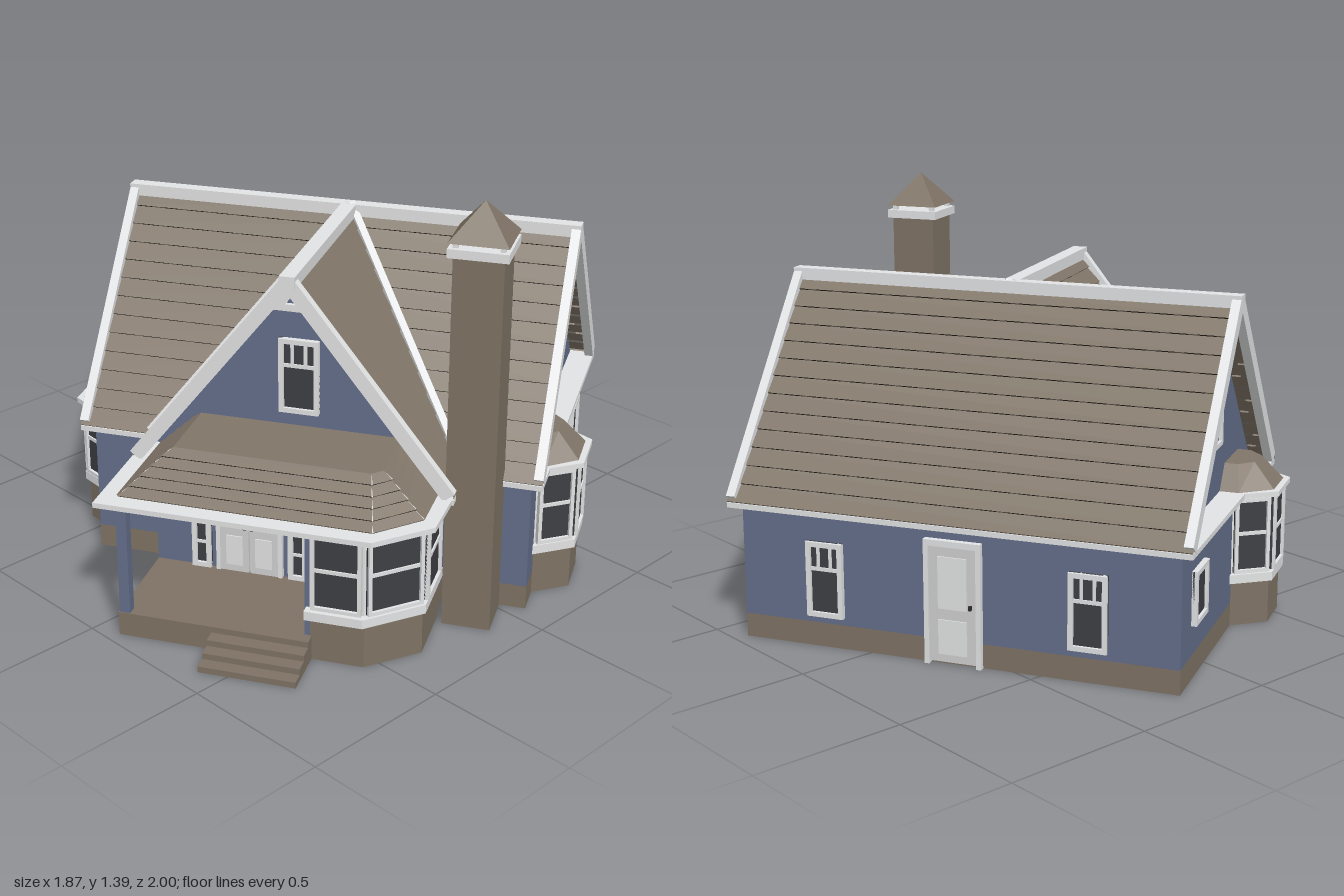
import * as THREE from 'three';

const mat = (name, color, side = THREE.FrontSide) => {
  const m = new THREE.MeshStandardMaterial({ color, side });
  m.name = name;
  return m;
};
const V = (x, y, z) => new THREE.Vector3(x, y, z);

export function createModel() {
  const siding = mat('blue siding', 0x636e8a);
  const stone = mat('brown stone', 0x7e7264);
  const shingle = mat('brown shingle', 0x807568, THREE.DoubleSide);
  const gap = mat('shingle shadow gap', 0x2f2a25, THREE.DoubleSide);
  const trim = mat('white trim', 0xe2e3e4);
  const doorPaint = mat('door paint', 0xd0d0d0);
  const glass = mat('dark glass', 0x3e3f44);

  const model = new THREE.Group();
  const house = new THREE.Group();
  house.name = 'house';
  house.rotation.y = 0.507;
  model.add(house);

  const add = (parent, geo, m, name) => {
    const mesh = new THREE.Mesh(geo, m);
    mesh.name = name;
    parent.add(mesh);
    return mesh;
  };
  // box given by its centre and size
  const box = (p, m, name, x, y, z, w, h, d) => {
    const b = add(p, new THREE.BoxGeometry(w, h, d), m, name);
    b.position.set(x, y, z);
    return b;
  };
  // floor polygon of [x, z] points raised from y0 to y1
  const prism = (p, m, name, poly, y0, y1) => {
    const shape = new THREE.Shape(poly.map(([x, z]) => new THREE.Vector2(x, -z)));
    const geo = new THREE.ExtrudeGeometry(shape, { depth: y1 - y0, bevelEnabled: false });
    geo.rotateX(-Math.PI / 2).translate(0, y0, 0);
    return add(p, geo, m, name);
  };
  const rect = (x0, x1, z0, z1) => [[x0, z0], [x0, z1], [x1, z1], [x1, z0]];
  // white board between two points, aimed before it joins the turned house
  const beam = (name, a, b, w, h) => {
    const m = new THREE.Mesh(new THREE.BoxGeometry(w, h, a.distanceTo(b)), trim);
    m.name = name;
    m.position.copy(a).lerp(b, 0.5);
    m.lookAt(b);
    house.add(m);
  };
  const quads = (p, list, m, name) => {
    const pos = [];
    for (const [a, b, c, d] of list) for (const v of [a, b, c, a, c, d]) pos.push(v.x, v.y, v.z);
    const g = new THREE.BufferGeometry();
    g.setAttribute('position', new THREE.Float32BufferAttribute(pos, 3));
    g.computeVertexNormals();
    return add(p, g, m, name);
  };
  // roof slope of overlapping courses with broken dark gaps under each lip
  const slope = (name, bl, br, tl, tr, rows) => {
    const n = br.clone().sub(bl).cross(tl.clone().sub(bl)).normalize();
    if (n.y < 0) n.negate();
    const lift = n.multiplyScalar(0.007), brown = [], dark = [];
    for (let i = 0; i < rows; i++) {
      const L = bl.clone().lerp(tl, i / rows), R = br.clone().lerp(tr, i / rows);
      brown.push([L.clone().add(lift), R.clone().add(lift),
        br.clone().lerp(tr, (i + 1) / rows), bl.clone().lerp(tl, (i + 1) / rows)]);
      const seg = Math.max(3, Math.round(L.distanceTo(R) / 0.03));
      for (let k = 0; k < seg; k++) {
        const a = L.clone().lerp(R, k / seg), b = L.clone().lerp(R, (k + 1) / seg);
        (i === 0 || (k + i) % 3 === 0 ? brown : dark).push([a, b, b.clone().add(lift), a.clone().add(lift)]);
      }
    }
    quads(house, brown, shingle, name);
    quads(house, dark, gap, name + 'Gaps');
  };
  // framed window facing +z, with a rail and upper mullions
  const win = (p, name, x, y, z, turn, w, h, cols = 1, rail = 0.14, t = 0.016) => {
    const g = new THREE.Group();
    g.name = name;
    g.position.set(x, y, z);
    g.rotation.y = turn;
    p.add(g);
    box(g, glass, 'pane', 0, 0, 0, w, h, 0.016);
    for (const s of [-1, 1]) {
      box(g, trim, 'jamb', s * (w - t) / 2, 0, 0.004, t, h, 0.028);
      box(g, trim, 'head', 0, s * (h - t) / 2, 0.004, w, t, 0.028);
    }
    if (rail !== null) box(g, trim, 'rail', 0, rail * h, 0.003, w - t, 0.012, 0.02);
    for (let i = 1; i < cols; i++)
      box(g, trim, 'mullion', -w / 2 + i * w / cols, h * (0.25 + rail / 2), 0.003, 0.01, h * (0.5 - rail), 0.02);
    return g;
  };
  // bay: stone foot, sill, white posts and a window on each listed facet
  const bay = (p, poly, facets, cx, cz, grow) => {
    prism(p, stone, 'bayFoot', poly, 0, 0.15);
    prism(p, trim, 'baySill', poly.map(([x, z]) => [cx + (x - cx) * grow, cz + (z - cz) * grow]), 0.15, 0.18);
    prism(p, trim, 'bayFrame', poly, 0.18, 0.445);
    for (const i of facets) {
      const [x0, z0] = poly[i], [x1, z1] = poly[i + 1], dx = x1 - x0, dz = z1 - z0;
      win(p, 'bayWindow', (x0 + x1) / 2, 0.312, (z0 + z1) / 2, Math.atan2(-dz, dx),
        Math.hypot(dx, dz) - 0.012, 0.255, 1, 0.03, 0.012);
    }
  };
  const C = 0.07, RZ = -0.135, EY = 0.46, TY = 1.115;

  // ground floor walls on a stone foundation
  for (const [name, r] of [['mainWalls', rect(-0.66, 0.8, -0.645, 0.375)], ['wingWalls', rect(-0.39, 0.53, 0.3, 0.53)]]) {
    prism(house, stone, name + 'Foundation', r, 0, 0.08);
    prism(house, siding, name, r, 0.08, 0.445);
  }
  // eave slabs
  prism(house, trim, 'mainEave', rect(-0.7, 0.84, -0.675, 0.405), 0.443, EY);
  prism(house, trim, 'wingEave', rect(-0.455, 0.595, 0.3, 0.57), 0.443, EY);

  // attic gable prisms
  const attic = (half, depth) => new THREE.ExtrudeGeometry(
    new THREE.Shape([new THREE.Vector2(-half, EY), new THREE.Vector2(half, EY), new THREE.Vector2(0, TY - 0.02)]),
    { depth, bevelEnabled: false });
  const main = add(house, attic(0.525, 1.37), siding, 'mainGableWalls');
  main.rotation.y = Math.PI / 2;
  main.position.set(-0.615, 0, RZ);
  add(house, attic(0.505, 0.545), siding, 'frontGableWall').position.set(C, 0, -0.1);

  // roof slopes, valleys and rake boards
  slope('backRoof', V(-0.7, EY, -0.67), V(0.84, EY, -0.67), V(-0.7, TY, RZ), V(0.84, TY, RZ), 13);
  for (const s of [-1, 1]) {
    const end = C + s * 0.77, eave = C + s * 0.52, rake = C + s * 0.756;
    slope('frontRoof', V(end, EY, 0.4), V(eave, EY, 0.4), V(end, TY, RZ), V(C, TY, RZ), 13);
    slope('wingRoof', V(eave, EY, 0.4), V(eave, EY, 0.56), V(C, TY, RZ), V(C, TY, 0.56), 13);
    beam('valley', V(eave, EY + 0.012, 0.405), V(C, TY + 0.012, RZ), 0.026, 0.03);
    beam('wingRake', V(C + s * 0.51, EY + 0.008, 0.558), V(C, TY, 0.558), 0.03, 0.045);
    for (const d of [-1, 1]) beam('mainRake', V(rake, EY + 0.008, RZ + d * 0.525), V(rake, TY, RZ), 0.03, 0.045);
  }
  beam('mainRidge', V(-0.702, TY, RZ), V(0.842, TY, RZ), 0.045, 0.04);
  beam('wingRidge', V(C, TY, RZ), V(C, TY, 0.576), 0.05, 0.04);

  // gable windows and peak ornaments
  const tri = (path, a, b, h) => { path.moveTo(-h, a); path.lineTo(h, a); path.lineTo(0, b); path.closePath(); return path; };
  const peak = tri(new THREE.Shape(), 0.975, 1.085, 0.088);
  peak.holes.push(tri(new THREE.Path(), 0.997, 1.05, 0.042));
  const peakGeo = new THREE.ExtrudeGeometry(peak, { depth: 0.015, bevelEnabled: false });
  for (const [x, z, turn] of [[C, 0.445, 0], [-0.615, RZ, -Math.PI / 2], [0.755, RZ, Math.PI / 2]]) {
    win(house, 'gableWindow', x, 0.757, z, turn, 0.13, 0.25, 3);
    const o = add(house, peakGeo, trim, 'peakOrnament');
    o.position.set(x, 0, z);
    o.rotation.y = turn;
  }

  // side bays and small side windows
  for (const s of [-1, 1]) {
    const g = new THREE.Group();
    g.name = s < 0 ? 'rightBay' : 'leftBay';
    g.position.set(C + s * 0.73, 0, 0.12);
    g.rotation.y = s * Math.PI / 2;
    house.add(g);
    bay(g, [[-0.15, -0.02], [-0.15, 0], [-0.075, 0.11], [0.075, 0.11], [0.15, 0], [0.15, -0.02]], [1, 2, 3], 0, 0, 1.12);
    prism(g, trim, 'bayEave', [[-0.18, 0], [-0.15, 0.045], [-0.087, 0.138], [0.087, 0.138], [0.15, 0.045], [0.18, 0]], 0.443, EY);
    const lo = [[-0.15, -0.045], [-0.15, 0.02], [-0.072, 0.118], [0.072, 0.118], [0.15, 0.02], [0.15, -0.045]].map(([x, z]) => V(x, EY, z));
    const hi = [[-0.09, -0.045], [-0.09, 0], [-0.045, 0.045], [0.045, 0.045], [0.09, 0], [0.09, -0.045]].map(([x, z]) => V(x, 0.54, z));
    const faces = [[hi[0], hi[1], hi[4], hi[5]], [hi[1], hi[2], hi[3], hi[4]]];
    for (let i = 0; i < 5; i++) faces.push([lo[i], lo[i + 1], hi[i + 1], hi[i]]);
    quads(g, faces, shingle, 'bayRoof');
    win(house, 'sideWindow', C + s * 0.73, 0.268, -0.46, s * Math.PI / 2, 0.14, 0.175, 1, null);
  }

  // front bay beside the porch
  const frontBay = new THREE.Group();
  frontBay.name = 'frontBay';
  house.add(frontBay);
  bay(frontBay, [[0.22, 0.5], [0.22, 0.845], [0.39, 0.845], [0.54, 0.715], [0.54, 0.53], [0.54, 0.5]], [1, 2, 3], 0.38, 0.53, 1.08);
  box(frontBay, siding, 'porchSideWall', 0.212, 0.262, 0.675, 0.02, 0.364, 0.33);

  // porch floor, steps and column
  prism(house, stone, 'porchFloor', rect(-0.39, 0.225, 0.5, 0.88), 0, 0.08);
  for (let i = 0; i < 3; i++)
    prism(house, stone, 'step', rect(-0.085, 0.225, 0.87, 0.925 + i * 0.043), 0, 0.06 - i * 0.02);
  box(house, siding, 'porchColumn', -0.37, 0.262, 0.86, 0.034, 0.365, 0.034);

  // porch roof: white rim, flat top and hipped shingle sides
  prism(house, trim, 'porchEave', [[-0.455, 0.5], [-0.455, 0.89], [0.42, 0.89], [0.58, 0.747], [0.592, 0.5]], 0.443, EY);
  const PY = 0.585;
  const pl = [V(-0.395, EY, 0.445), V(-0.395, EY, 0.83), V(0.41, EY, 0.835), V(0.535, EY, 0.715), V(0.54, EY, 0.445)];
  const ph = [V(-0.26, PY, 0.445), V(-0.26, PY, 0.7), V(0.37, PY, 0.7), V(0.4, PY, 0.67), V(0.4, PY, 0.445)];
  for (let i = 0; i < 4; i++) slope('porchRoof', pl[i], pl[i + 1], ph[i], ph[i + 1], 5);
  quads(house, [[ph[0], ph[1], ph[2], ph[4]], [ph[2], ph[3], ph[4], ph[4]]], shingle, 'porchRoofTop');

  // panelled door leaf facing +z
  const door = (p, x, y, w, h) => {
    box(p, doorPaint, 'doorLeaf', x, y, 0.005, w, h, 0.018);
    for (const [dy, part] of [[0.19, 0.45], [-0.28, 0.3]])
      box(p, trim, 'doorPanel', x, y + dy * h, 0.014, w * 0.6, part * h, 0.008);
  };
  const entry = new THREE.Group();
  entry.name = 'frontEntry';
  entry.position.set(-0.072, 0, 0.53);
  house.add(entry);
  for (const s of [-1, 1]) {
    door(entry, s * 0.049, 0.257, 0.094, 0.35);
    box(entry, gap, 'doorKnob', s * 0.012, 0.25, 0.02, 0.01, 0.014, 0.012);
    box(entry, trim, 'doorJamb', s * 0.104, 0.262, 0.004, 0.014, 0.36, 0.03);
    const side = win(entry, 'sidelight', s * 0.162, 0.262, 0, 0, 0.064, 0.36, 1, 0.25);
    for (const y of [0, -0.09]) box(side, trim, 'bar', 0, y, 0.003, 0.05, 0.01, 0.02);
  }
  box(entry, trim, 'doorHead', 0, 0.438, 0.004, 0.22, 0.014, 0.03);

  // back door and windows
  const back = new THREE.Group();
  back.name = 'backEntry';
  back.position.set(C, 0, -0.645);
  back.rotation.y = Math.PI;
  house.add(back);
  door(back, 0, 0.2, 0.16, 0.38);
  box(back, gap, 'doorKnob', 0.06, 0.2, 0.018, 0.01, 0.014, 0.012);
  box(back, trim, 'doorHead', 0, 0.4, 0.005, 0.19, 0.02, 0.03);
  for (const s of [-1, 1]) {
    box(back, trim, 'doorJamb', s * 0.087, 0.2, 0.005, 0.016, 0.4, 0.03);
    win(back, 'backWindow', s * 0.44, 0.23, 0, 0, 0.125, 0.25, 3);
  }

  // chimney with slab, short legs and pyramid hood
  const chimney = new THREE.Group();
  chimney.name = 'chimney';
  chimney.position.set(0.638, 0, 0.458);
  house.add(chimney);
  box(chimney, stone, 'chimneyStack', 0, 0.62, 0, 0.154, 1.24, 0.154);
  box(chimney, trim, 'chimneySlab', 0, 1.25, 0, 0.184, 0.028, 0.184);
  for (const x of [-1, 1]) for (const z of [-1, 1])
    box(chimney, trim, 'hoodLeg', x * 0.07, 1.272, z * 0.07, 0.016, 0.02, 0.016);
  const hood = add(chimney, new THREE.ConeGeometry(0.13, 0.112, 4).toNonIndexed(), stone, 'chimneyHood');
  hood.geometry.computeVertexNormals();
  hood.rotation.y = Math.PI / 4;
  hood.position.y = 1.336;
  return model;
}
